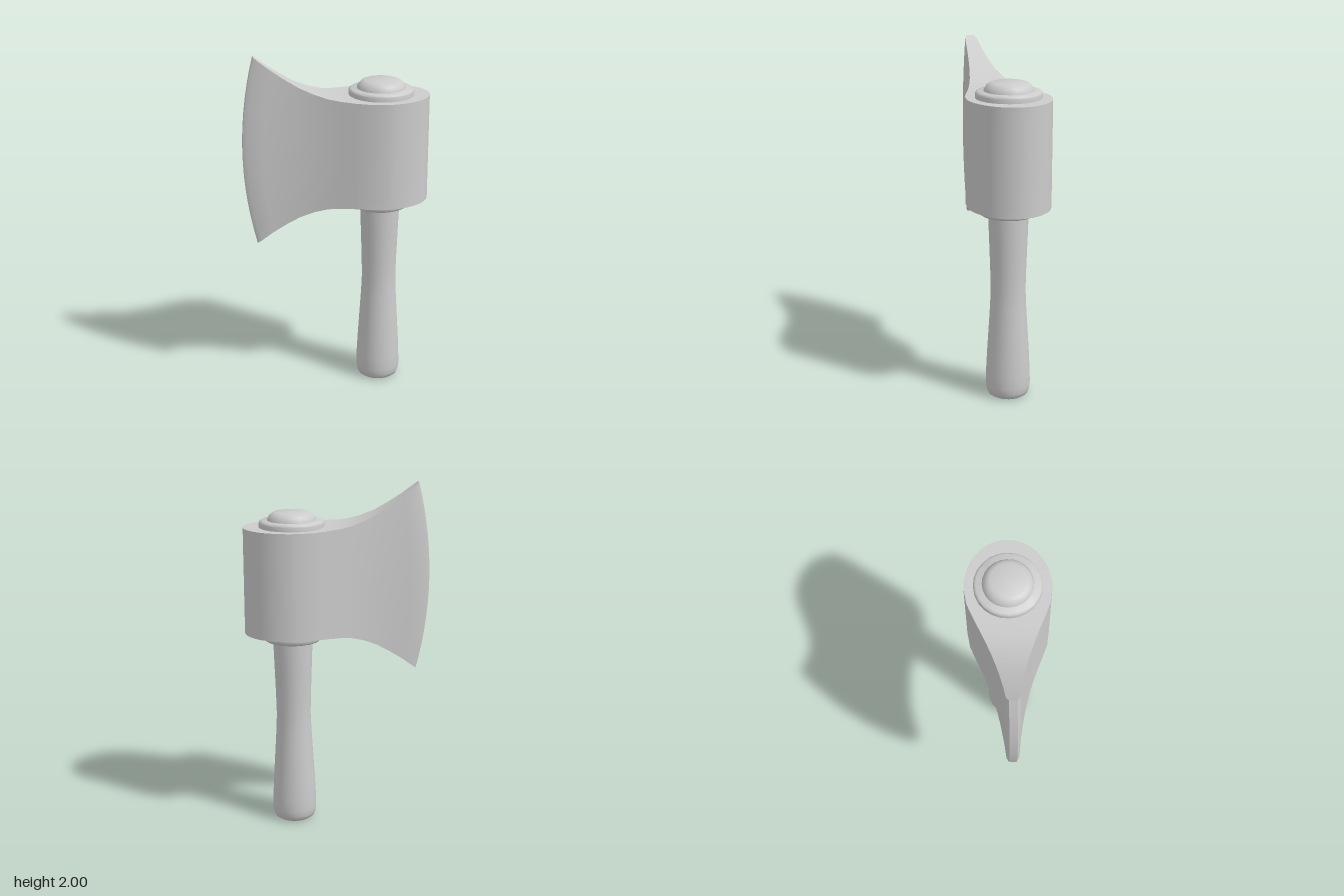
import * as THREE from 'three';
import { toCreasedNormals } from 'three/addons/utils/BufferGeometryUtils.js';

const AXIS_X = 0.255;
const grey = () => new THREE.MeshStandardMaterial({ color: 0xcccccc });

// Turned part around the handle axis, profile given as [radius, y] from bottom to top
function turned(name, profile, crease, segments = 24) {
  const pts = profile.map(([r, y]) => new THREE.Vector2(r, y));
  const geo = toCreasedNormals(new THREE.LatheGeometry(pts, segments), crease);
  const mesh = new THREE.Mesh(geo, grey());
  mesh.name = name;
  mesh.position.x = AXIS_X;
  return mesh;
}

// Axe head: teardrop plan whose blade flares in height and bows at the cutting edge
function axeHead() {
  const midY = 1.455, rows = 14, arc = 14;
  // columns from cutting edge to eye: [x, half thickness, half height, edge bow]
  const cols = [
    [-0.535, 0.022, 0.545, 0.07], [-0.51, 0.036, 0.528, 0.065],
    [-0.42, 0.046, 0.475, 0.045], [-0.33, 0.06, 0.425, 0.03],
    [-0.24, 0.077, 0.38, 0.015], [-0.15, 0.1, 0.345, 0.005],
    [-0.07, 0.127, 0.322, 0], [0, 0.155, 0.312, 0],
    [0.08, 0.19, 0.307, 0], [0.16, 0.222, 0.305, 0],
  ];
  // rounded poll behind the eye
  for (let i = 0; i <= arc; i++) {
    const a = (i / arc) * Math.PI / 2;
    cols.push([0.25 + 0.28 * Math.sin(a), i === arc ? 0 : 0.236 * Math.cos(a), 0.305, 0]);
  }
  // closed loop: front side outwards, back side mirrored
  const n = cols.length;
  const loop = cols.map(c => [...c, 1]);
  for (let i = n - 2; i >= 0; i--) loop.push([...cols[i], -1]);
  const count = loop.length;

  const pos = [], index = [];
  for (const [x, w, h, bow, side] of loop) {
    for (let j = 0; j <= rows; j++) {
      const t = (2 * j) / rows - 1;
      pos.push(x + bow * t * t, midY + h * t, side * w);
    }
  }
  const at = (i, j) => (i % count) * (rows + 1) + j;
  const quad = (a, b, c, d) => index.push(a, b, c, a, c, d);
  for (let i = 0; i < count; i++) {
    for (let j = 0; j < rows; j++) quad(at(i, j), at(i + 1, j), at(i + 1, j + 1), at(i, j + 1));
  }
  // top and bottom strips between front and back
  for (let i = 0; i < n - 1; i++) {
    const bi = count - 1 - i, bn = count - 2 - i;
    if (i === n - 2) {
      index.push(at(i, rows), at(i + 1, rows), at(bi, rows));
      index.push(at(bi, 0), at(i + 1, 0), at(i, 0));
    } else {
      quad(at(i, rows), at(i + 1, rows), at(bn, rows), at(bi, rows));
      quad(at(bi, 0), at(bn, 0), at(i + 1, 0), at(i, 0));
    }
  }
  const geo = new THREE.BufferGeometry();
  geo.setAttribute('position', new THREE.Float32BufferAttribute(pos, 3));
  geo.setIndex(index);
  const mesh = new THREE.Mesh(toCreasedNormals(geo, 0.5), grey());
  mesh.name = 'axeHead';
  return mesh;
}

export function createModel() {
  const group = new THREE.Group();
  group.name = 'axe';
  group.add(axeHead());

  // waisted grip with a rounded butt
  group.add(turned('handle', [
    [0, 0], [0.1, 0], [0.117, 0.012], [0.126, 0.035], [0.13, 0.07], [0.128, 0.14],
    [0.122, 0.26], [0.112, 0.42], [0.104, 0.55], [0.1, 0.65], [0.103, 0.78],
    [0.109, 0.95], [0.115, 1.12], [0, 1.12],
  ], 0.7));

  // collars below and above the head
  group.add(turned('lowerCollar', [
    [0, 1.105], [0.16, 1.105], [0.17, 1.115], [0.172, 1.13], [0.172, 1.16], [0, 1.16],
  ], 0.9));
  group.add(turned('upperCollar', [
    [0, 1.75], [0.185, 1.75], [0.185, 1.783], [0.182, 1.793], [0.172, 1.799], [0, 1.799],
  ], 0.9));

  // domed end cap
  group.add(turned('endCap', [
    [0, 1.79], [0.14, 1.79], [0.138, 1.805], [0.126, 1.825], [0.112, 1.838],
    [0.096, 1.845], [0, 1.845],
  ], 0.6));

  return group;
}
